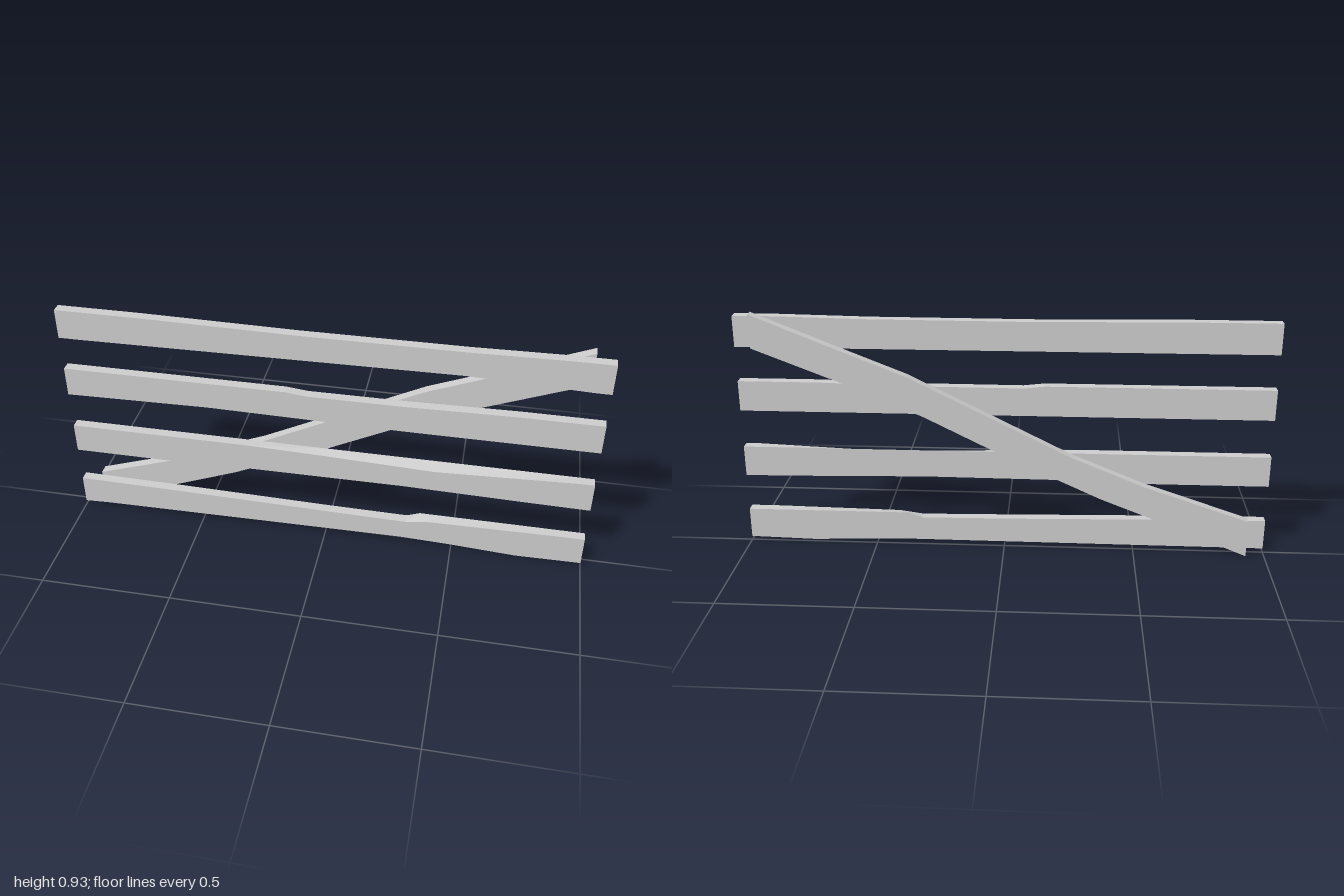
import * as THREE from 'three';

const material = new THREE.MeshStandardMaterial({ color: 0xcccccc, flatShading: true });

// Height of a polyline [[x, y], ...] at x
function heightAt(line, x) {
  for (let i = 1; i < line.length; i++) {
    const [x0, y0] = line[i - 1], [x1, y1] = line[i];
    if (x <= x1) return y0 + (y1 - y0) * (x - x0) / (x1 - x0);
  }
  return line[line.length - 1][1];
}

// Hand-hewn board: a four-cornered section swept along x, each long edge following its own line
function board(name, zBack, zFront, { topFront, topBack = topFront, bottomFront, bottomBack = bottomFront }) {
  const edges = [
    [bottomFront, zFront], [topFront, zFront], [topBack, zBack], [bottomBack, zBack],
  ];
  const xs = [...new Set(edges.flatMap(([line]) => line.map(p => p[0])))].sort((a, b) => a - b);
  const positions = [], indices = [];
  for (const x of xs) for (const [line, z] of edges) positions.push(x, heightAt(line, x), z);
  for (let s = 0; s < xs.length - 1; s++) {
    for (let k = 0; k < 4; k++) {
      const a = s * 4 + k, b = s * 4 + (k + 1) % 4;
      indices.push(a, a + 4, b + 4, a, b + 4, b);
    }
  }
  const e = (xs.length - 1) * 4;
  indices.push(0, 1, 2, 0, 2, 3, e, e + 2, e + 1, e, e + 3, e + 2);
  const indexed = new THREE.BufferGeometry();
  indexed.setAttribute('position', new THREE.Float32BufferAttribute(positions, 3));
  indexed.setIndex(indices);
  const geometry = indexed.toNonIndexed();
  geometry.computeVertexNormals();
  const mesh = new THREE.Mesh(geometry, material);
  mesh.name = name;
  return mesh;
}

export function createModel() {
  const group = new THREE.Group();
  group.name = 'fencePanel';
  const T = 0.038;

  // Four horizontal rails, top to bottom, with worn edges
  const rails = [
    ['topRail', {
      topFront: [[-1, 0.912], [-0.68, 0.912], [-0.1, 0.905], [0.5, 0.906], [0.85, 0.912], [1, 0.912]],
      bottomFront: [[-1, 0.795], [-0.92, 0.795], [0.5, 0.81], [0.95, 0.794], [1, 0.794]],
      bottomBack: [[-1, 0.795], [1, 0.793]],
    }],
    ['upperMiddleRail', {
      topFront: [[-1, 0.66], [-0.15, 0.66], [-0.07, 0.651], [0.3, 0.652], [0.7, 0.66], [1, 0.66]],
      bottomFront: [[-1, 0.543], [-0.45, 0.553], [0.3, 0.543], [1, 0.543]],
      bottomBack: [[-1, 0.543], [1, 0.543]],
    }],
    ['lowerMiddleRail', {
      topFront: [[-1, 0.396], [-0.3, 0.396], [0, 0.388], [0.42, 0.373], [0.95, 0.396], [1, 0.396]],
      topBack: [[-1, 0.396], [1, 0.396]],
      bottomFront: [[-1, 0.277], [-0.57, 0.277], [-0.3, 0.285], [0.3, 0.288], [0.75, 0.28], [1, 0.277]],
    }],
    ['bottomRail', {
      topFront: [[-1, 0.133], [-0.6, 0.128], [0, 0.117], [0.32, 0.112], [0.41, 0.125], [0.9, 0.133], [1, 0.133]],
      topBack: [[-1, 0.133], [-0.6, 0.128], [0, 0.117], [0.32, 0.114], [0.37, 0.133], [1, 0.133]],
      bottomFront: [[-1, 0.016], [-0.9, 0.02], [0.3, 0.033], [0.5, 0.025], [0.75, 0.01], [1, 0.014]],
      bottomBack: [[-1, 0.016], [0.4, 0.02], [0.75, 0.008], [1, 0.014]],
    }],
  ];
  for (const [name, lines] of rails) group.add(board(name, 0, T, lines));

  // Diagonal brace behind the rails
  group.add(board('diagonalBrace', -T, 0, {
    topFront: [[-0.93, 0.145], [-0.53, 0.28], [-0.25, 0.395], [0.05, 0.545], [0.36, 0.7], [0.6, 0.795], [0.93, 0.928]],
    bottomFront: [[-0.93, 0], [-0.6, 0.135], [-0.37, 0.225], [0, 0.395], [0.3, 0.545], [0.57, 0.66], [0.93, 0.8]],
  }));
  return group;
}
